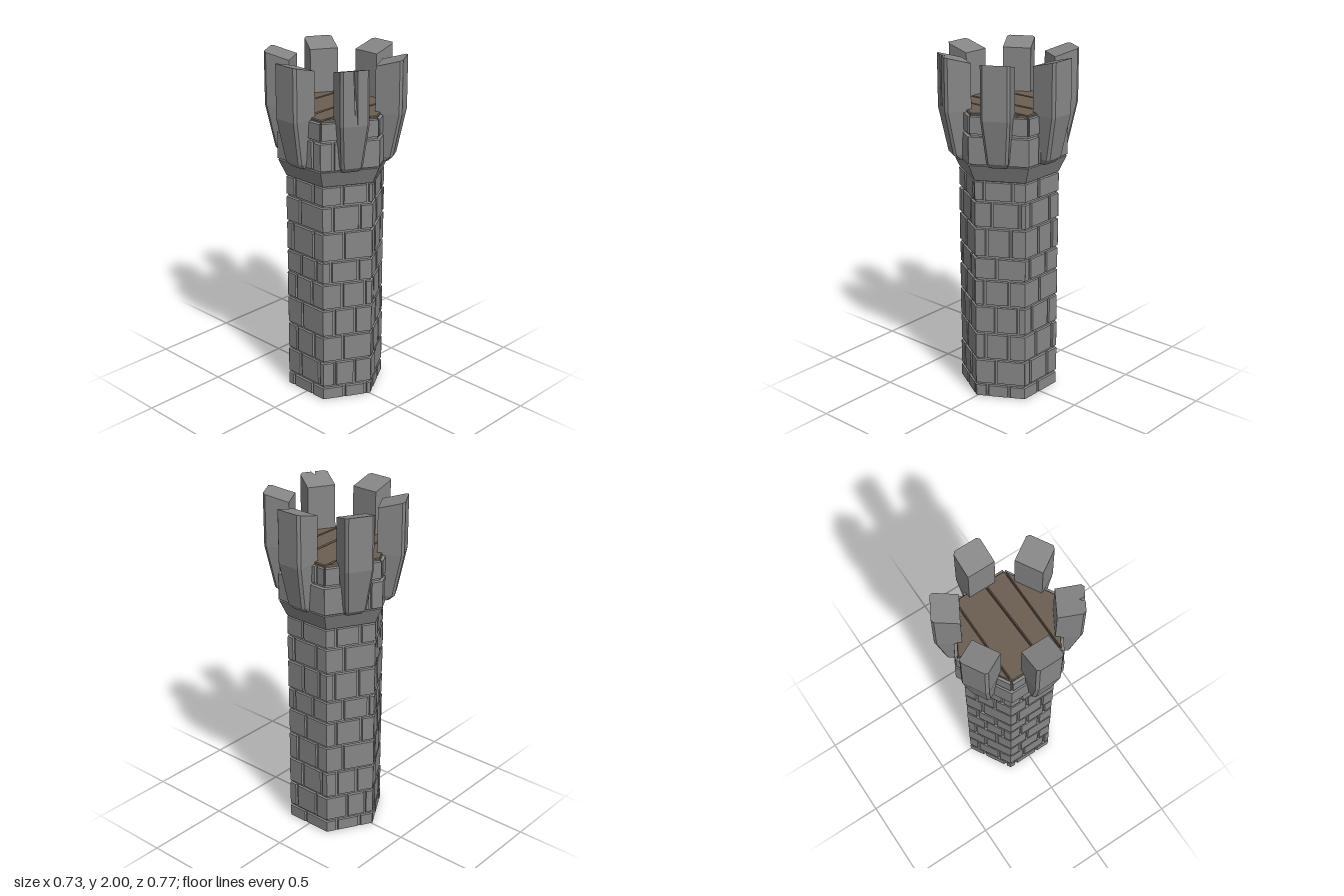
import * as THREE from 'three';
import { mergeGeometries } from 'three/addons/utils/BufferGeometryUtils.js';

const TAN30 = Math.tan(Math.PI / 6);
const COS30 = Math.cos(Math.PI / 6);

function seeded(seed) {
  return () => {
    seed = (seed * 16807) % 2147483647;
    return seed / 2147483647;
  };
}

// Facet a geometry so every face has its own normal
function faceted(geometry) {
  const g = geometry.index ? geometry.toNonIndexed() : geometry;
  g.computeVertexNormals();
  return g;
}

// Hexagonal prism measured by apothem, with flat sides facing +z and -z
function hexPrism(bottom, top, y0, y1) {
  const g = new THREE.CylinderGeometry(top / COS30, bottom / COS30, y1 - y0, 6, 1, false, Math.PI / 6);
  g.translate(0, (y0 + y1) / 2, 0);
  return faceted(g);
}

// Bevelled block on the +z side; ends given as null follow the mitred corner
function brick(left, right, y0, y1, back, front, cornerGap) {
  const g = new THREE.BoxGeometry(1, 1, 1);
  const p = g.attributes.position;
  for (let i = 0; i < p.count; i++) {
    const sx = Math.sign(p.getX(i));
    const sy = Math.sign(p.getY(i));
    const isFront = p.getZ(i) > 0;
    const z = isFront ? front : back;
    const bevel = isFront ? 0.005 : 0;
    const end = sx < 0 ? left : right;
    const x = end === null ? sx * (z * TAN30 - cornerGap) : end - sx * bevel;
    p.setXYZ(i, x, sy < 0 ? y0 + bevel : y1 - bevel, z);
  }
  return faceted(g);
}

// One ring of bricks around the six sides
function course(y0, y1, back, front, row, rand, cornerGap = 0) {
  const parts = [];
  const gap = 0.004;
  for (let side = 0; side < 6; side++) {
    const pattern = (row + side) % 2 ? [-0.03] : [-0.085, 0.055];
    if ((row + side) % 4 === 1) pattern.push(0.1);
    const joints = pattern.map((u) => u + (rand() - 0.5) * 0.03);
    for (let k = 0; k <= joints.length; k++) {
      const left = k === 0 ? null : joints[k - 1] + gap;
      const right = k === joints.length ? null : joints[k] - gap;
      const depth = front + (rand() - 0.5) * 0.003;
      const b = brick(left, right, y0 + gap, y1 - gap, back, depth, cornerGap);
      parts.push(b.rotateY((side * Math.PI) / 3));
    }
  }
  return mergeGeometries(parts);
}

// Battlement lofted upward through cross-sections, with chamfered outer corners
function merlon(crack) {
  const inner = 0.24;
  const c = 0.014;
  const rings = [
    [1.42, 0.05, 0.305, 0],
    [1.45, 0.06, 0.335, 0],
    [1.7, 0.08, 0.385, 0],
    [2.0, 0.08, 0.385, crack],
  ].map(([y, w, r, notch]) => {
    const outline = [
      [0, inner], [-w, inner], [-w, r - c], [-w + c, r], [-0.012, r],
      [0, r - notch], [0.012, r], [w - c, r], [w, r - c], [w, inner],
    ];
    // The top slopes down toward the inside of the tower
    return outline.map(([x, z]) => [x, y === 2 ? y - (0.04 * (r - z)) / (r - inner) : y, z]);
  });
  const n = rings[0].length;
  const positions = rings.flat(2);
  const index = [];
  for (let j = 0; j < rings.length - 1; j++) {
    for (let i = 0; i < n; i++) {
      const a = j * n + i;
      const b = j * n + ((i + 1) % n);
      index.push(a, a + n, b, b, a + n, b + n);
    }
  }
  const top = (rings.length - 1) * n;
  for (let i = 1; i < n - 1; i++) {
    index.push(0, i, i + 1);
    index.push(top, top + i + 1, top + i);
  }
  // Correct the winding so that all faces point outward
  for (let i = 0; i < index.length; i += 3) {
    [index[i + 1], index[i + 2]] = [index[i + 2], index[i + 1]];
  }
  const g = new THREE.BufferGeometry();
  g.setAttribute('position', new THREE.Float32BufferAttribute(positions, 3));
  g.setIndex(index);
  // Verify direction by signed volume
  let volume = 0;
  const [va, vb, vc] = [0, 0, 0].map(() => new THREE.Vector3());
  for (let i = 0; i < index.length; i += 3) {
    [va, vb, vc].forEach((v, k) => v.fromArray(positions, index[i + k] * 3));
    volume += va.dot(vb.cross(vc));
  }
  if (volume < 0) g.setIndex(index.reverse());
  return faceted(g);
}

// Floorboard from a plan outline of [x, z] points
function plank(points) {
  const shape = new THREE.Shape(points.map(([x, z]) => new THREE.Vector2(x, -z)));
  const g = new THREE.ExtrudeGeometry(shape, {
    depth: 0.014, bevelEnabled: true, bevelSize: 0.005, bevelOffset: -0.005,
    bevelThickness: 0.005, bevelSegments: 1,
  });
  g.rotateX(-Math.PI / 2).translate(0, 1.691, 0);
  return faceted(g);
}

export function createModel() {
  const tower = new THREE.Group();
  tower.name = 'tower';
  const stone = new THREE.MeshStandardMaterial({ color: 0x868686 });
  stone.name = 'grey stone';
  const wood = new THREE.MeshStandardMaterial({ color: 0x6b5f53 });
  wood.name = 'brown wood';
  const add = (name, geometry, material) => {
    const mesh = new THREE.Mesh(geometry, material);
    mesh.name = name;
    tower.add(mesh);
    return mesh;
  };
  const rand = seeded(41);

  // Shaft
  add('shaftCore', hexPrism(0.235, 0.235, 0.004, 1.34), stone);
  const levels = [0, 0.085, 0.245, 0.41, 0.58, 0.74, 0.875, 1.05, 1.205, 1.325];
  for (let i = 0; i < levels.length - 1; i++) {
    add('shaftCourse' + (i + 1), course(levels[i], levels[i + 1], 0.23, 0.246, i, rand), stone);
  }

  // Flared collar and parapet wall
  add('collar', hexPrism(0.246, 0.284, 1.325, 1.42), stone);
  add('parapetCore', hexPrism(0.27, 0.27, 1.41, 1.685), stone);
  add('parapetLowerCourse', course(1.42, 1.59, 0.26, 0.286, 1, rand), stone);
  add('parapetUpperCourse', course(1.59, 1.702, 0.26, 0.283, 2, rand, 0.006), stone);

  // Six battlements, one at the middle of each side
  for (let i = 0; i < 6; i++) {
    const block = add('battlement' + (i + 1), merlon(i === 1 ? 0.03 : 0), stone);
    block.rotation.y = (i * Math.PI) / 3;
  }

  // Wooden floor
  add('floorBase', hexPrism(0.265, 0.265, 1.68, 1.693), wood);
  const a = 0.268;
  const v = a / COS30;
  const s = v / 2;
  const boards = [
    [[-v, 0], [-s - 0.005, a - 0.009], [-s - 0.005, -a + 0.009]],
    [[-s, a], [0.04, a], [0.022, -a], [-s, -a]],
    [[0.045, a], [s, a], [s, -a], [0.027, -a]],
    [[s + 0.005, a - 0.009], [v, 0], [s + 0.005, -a + 0.009]],
  ];
  boards.forEach((outline, i) => add('floorboard' + (i + 1), plank(outline), wood));
  return tower;
}
